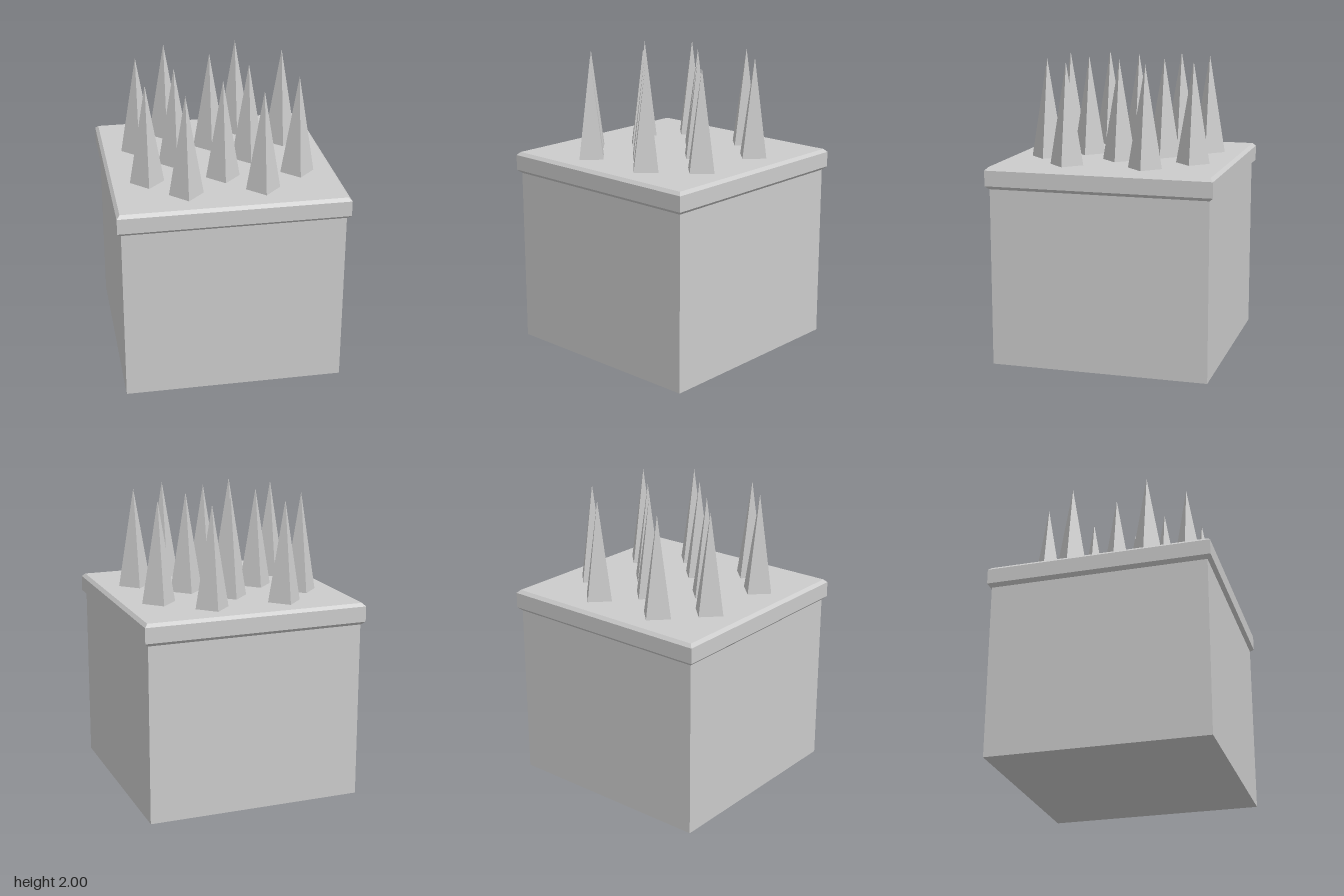
import * as THREE from 'three';

export function createModel() {
  const model = new THREE.Group();
  const material = new THREE.MeshStandardMaterial({ color: 0xcccccc, flatShading: true });

  const add = (parent, name, geometry, x, y, z) => {
    const mesh = new THREE.Mesh(geometry, material);
    mesh.name = name;
    mesh.position.set(x, y, z);
    parent.add(mesh);
    return mesh;
  };

  // Block
  const bodyHeight = 1.19;
  add(model, 'body', new THREE.BoxGeometry(1.456, bodyHeight, 1.456), 0, bodyHeight / 2, 0);

  // Overhanging plate with chamfered edges: [half width, height], turned in four sides
  const plateTop = 1.332;
  const profile = [[0, 1.186], [0.73, 1.186], [0.753, 1.208], [0.753, 1.311], [0.732, plateTop], [0, plateTop]];
  const points = profile.map(([half, y]) => new THREE.Vector2(half * Math.SQRT2, y));
  add(model, 'topPlate', new THREE.LatheGeometry(points, 4, Math.PI / 4), 0, 0, 0);

  // Four-sided spikes in staggered rows
  const spikes = new THREE.Group();
  spikes.name = 'spikes';
  model.add(spikes);
  const spikeHeight = 2 - plateTop;
  const spikeGeometry = new THREE.ConeGeometry(0.113, spikeHeight, 4);
  const pair = [-0.278, 0.224];
  const triple = [-0.503, 0, 0.501];
  const rows = [[-0.505, pair], [-0.253, triple], [-0.002, pair], [0.275, triple], [0.5, pair]];
  for (const [z, xs] of rows) {
    for (const x of xs) add(spikes, 'spike', spikeGeometry, x, plateTop + spikeHeight / 2, z);
  }

  return model;
}
